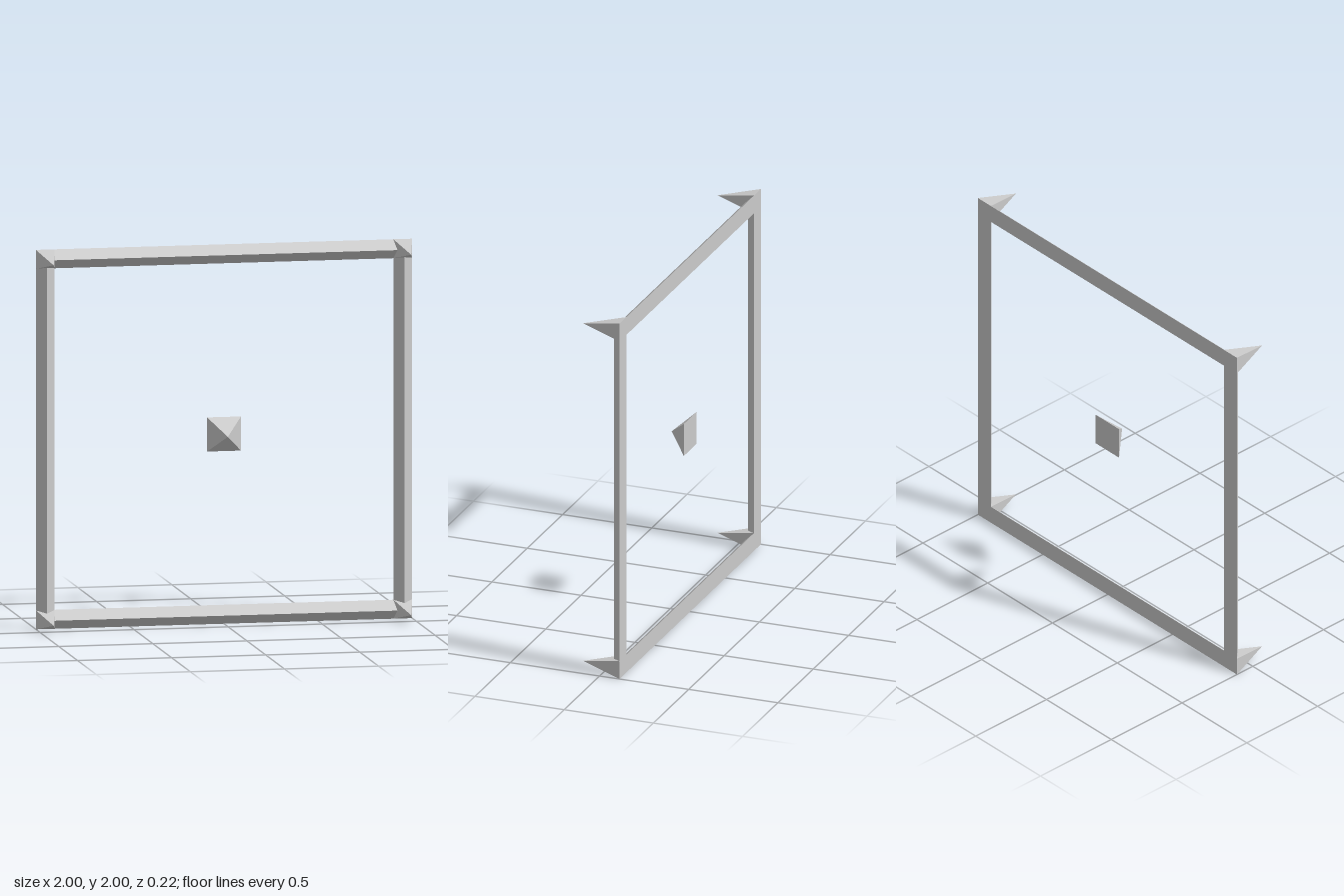
import * as THREE from 'three';

const BACK = -0.112;   // shared flat back plane
const EDGE = 0.95;     // centre line of the frame bars
const HALF = 0.05;     // half width of bars and corner spikes
const MID = 1;         // height of the frame centre

const material = new THREE.MeshStandardMaterial({ color: 0xcccccc, flatShading: true });

// Square pyramid with its base on z = 0 and its tip towards +z
function pyramidGeometry(half, height) {
  return new THREE.ConeGeometry(half * Math.SQRT2, height, 4)
    .rotateY(Math.PI / 4)
    .translate(0, height / 2, 0)
    .rotateX(Math.PI / 2);
}

// Vertical bar of triangular section with its ridge towards +z
function barGeometry(length, height) {
  const section = new THREE.Shape([
    new THREE.Vector2(-HALF, 0),
    new THREE.Vector2(HALF, 0),
    new THREE.Vector2(0, height),
  ]);
  return new THREE.ExtrudeGeometry(section, { depth: length, bevelEnabled: false })
    .translate(0, 0, -length / 2)
    .rotateX(Math.PI / 2);
}

export function createModel() {
  const model = new THREE.Group();
  model.name = 'spikedFrame';

  const add = (name, geometry, x, y, turn = 0) => {
    const mesh = new THREE.Mesh(geometry, material);
    mesh.name = name;
    mesh.position.set(x, y, BACK);
    mesh.rotation.z = turn;
    model.add(mesh);
  };

  // Four ridged bars, ending inside the corner spikes
  const bar = barGeometry(2 * EDGE, 0.052);
  add('leftBar', bar, EDGE, MID);
  add('rightBar', bar, -EDGE, MID);
  add('topBar', bar, 0, MID + EDGE, Math.PI / 2);
  add('bottomBar', bar, 0, MID - EDGE, Math.PI / 2);

  // Tall spikes at the corners
  const spike = pyramidGeometry(HALF, 0.224);
  for (const [side, x] of [['Left', EDGE], ['Right', -EDGE]]) {
    add(`top${side}Spike`, spike, x, MID + EDGE);
    add(`bottom${side}Spike`, spike, x, MID - EDGE);
  }

  // Low stud floating in the middle
  add('centreStud', pyramidGeometry(0.09, 0.104), 0, MID);

  return model;
}
